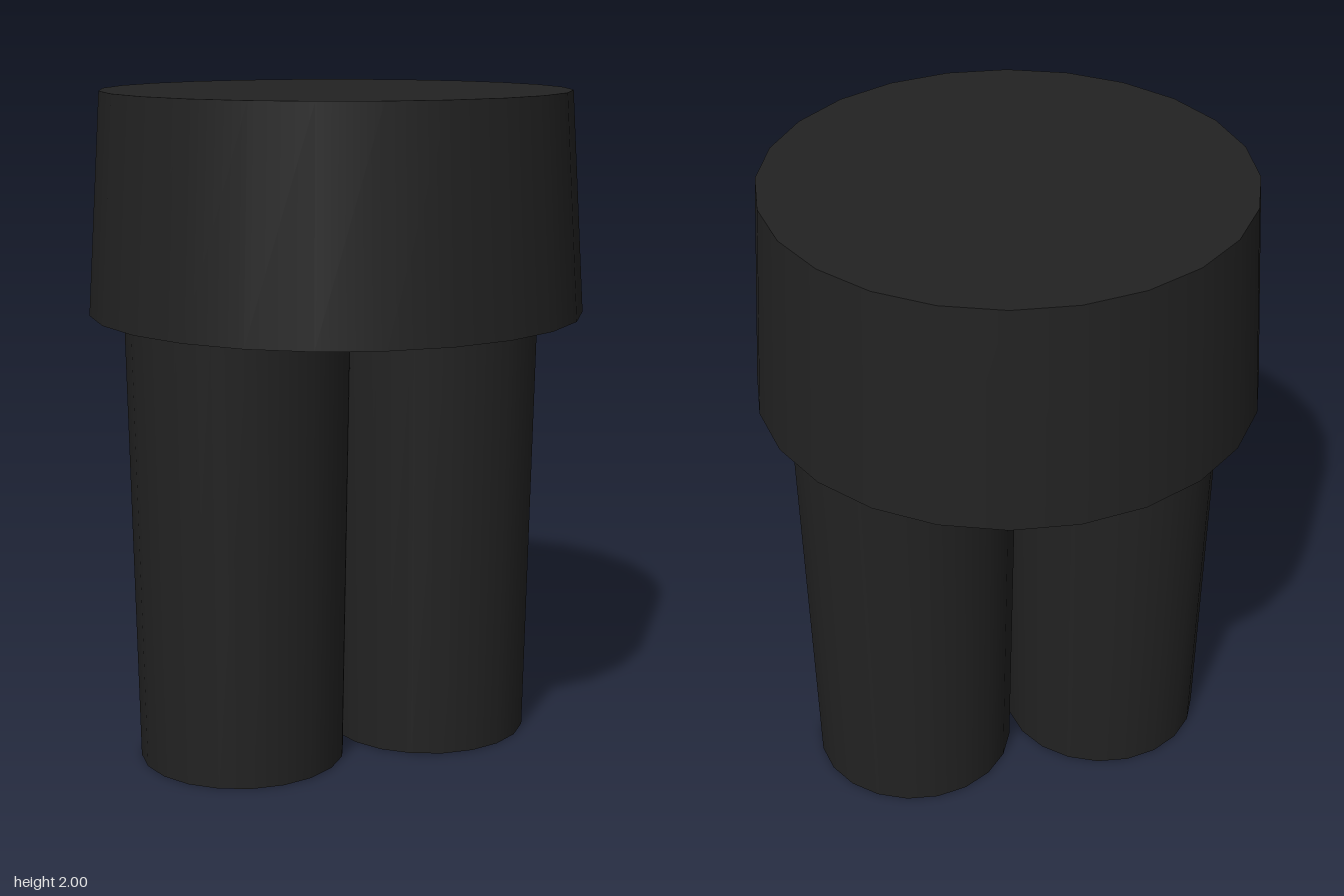
import * as THREE from 'three';

export function createModel() {
  const model = new THREE.Group();
  model.name = 'trousers';

  const charcoal = new THREE.MeshStandardMaterial({ color: 0x222222 });
  charcoal.name = 'charcoal cloth';

  // Tapered round part standing between two heights
  function addTaper(name, topRadius, bottomRadius, bottomY, topY, x, sides) {
    const geometry = new THREE.CylinderGeometry(topRadius, bottomRadius, topY - bottomY, sides);
    const mesh = new THREE.Mesh(geometry, charcoal);
    mesh.name = name;
    mesh.position.set(x, (bottomY + topY) / 2, 0);
    model.add(mesh);
  }

  // Wide hips, flaring slightly towards the hem
  addTaper('hips', 0.692, 0.735, 1.35, 2, 0, 24);

  // Two legs, narrowing towards the ankle
  for (const [name, side] of [['leftLeg', 1], ['rightLeg', -1]]) {
    addTaper(name, 0.333, 0.31, 0, 1.36, side * 0.317, 20);
  }

  return model;
}
